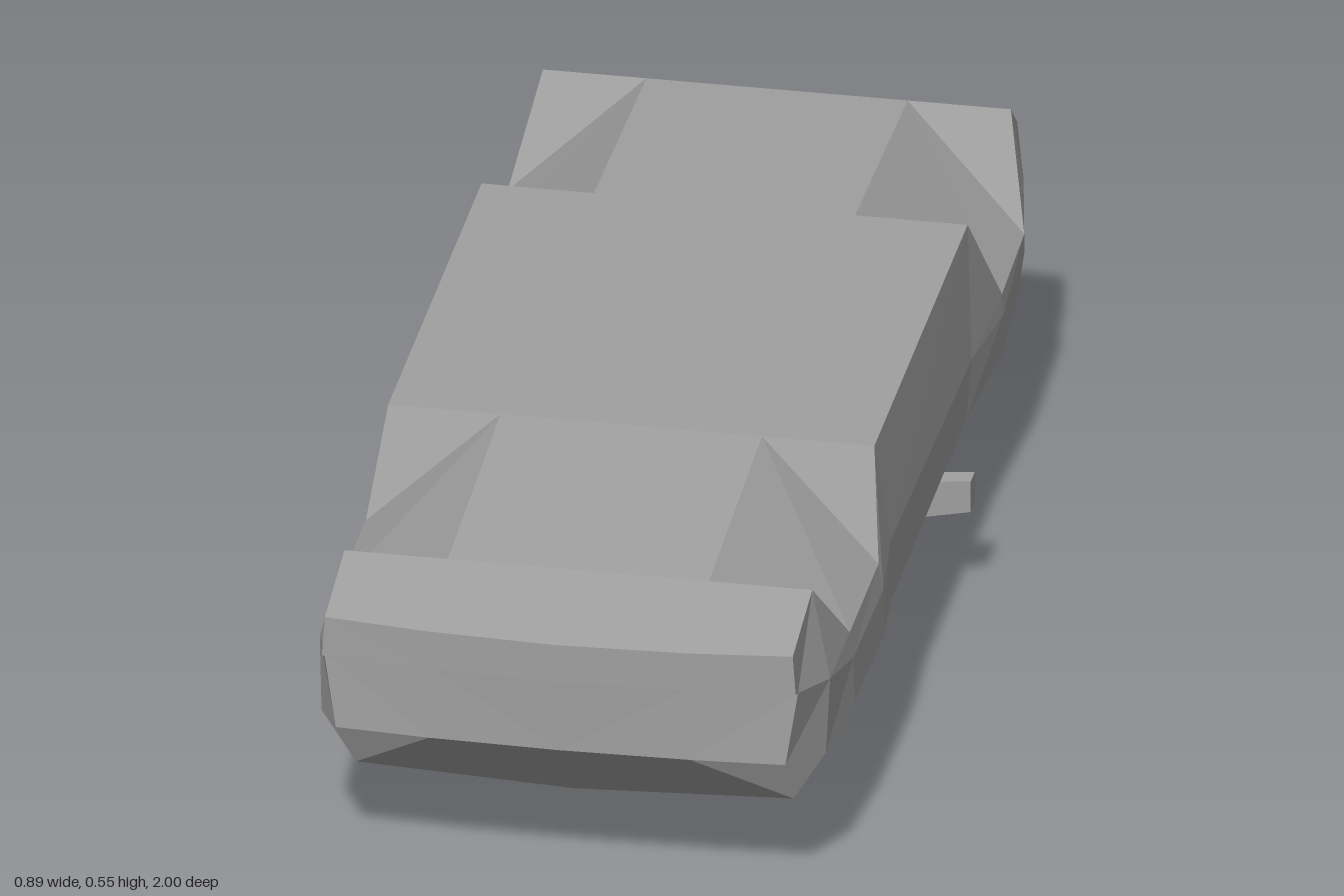
import * as THREE from 'three';

const paint = new THREE.MeshStandardMaterial({ color: 0xa0a0a0, side: THREE.DoubleSide });
paint.name = 'grey';

// Flat-shaded skin over a grid of points for the +x half, mirrored to -x.
function mirroredSkin(name, rows, flip = false) {
  const pos = [];
  const tri = (a, b, c) => {
    const n = new THREE.Vector3().subVectors(b, a).cross(new THREE.Vector3().subVectors(c, a));
    if (n.length() < 1e-7) return;
    const [p, q] = flip ? [c, b] : [b, c];
    for (const v of [a, p, q]) pos.push(v.x, v.y, v.z);
    for (const v of [a, q, p]) pos.push(-v.x, v.y, v.z);
  };
  const grid = rows.map(r => r.map(p => new THREE.Vector3(...p)));
  for (let i = 0; i < grid.length - 1; i++) {
    for (let j = 0; j < grid[i].length - 1; j++) {
      const a = grid[i][j], b = grid[i][j + 1], c = grid[i + 1][j], d = grid[i + 1][j + 1];
      tri(a, b, c);
      tri(b, d, c);
    }
  }
  const geo = new THREE.BufferGeometry();
  geo.setAttribute('position', new THREE.Float32BufferAttribute(pos, 3));
  geo.computeVertexNormals();
  const mesh = new THREE.Mesh(geo, paint);
  mesh.name = name;
  return mesh;
}

// Lengthwise lines of the overturned car body, from +z to -z.
const floorLine = [
  [0.215, 0.475, 0.99], [0.215, 0.512, 0.8], [0.215, 0.512, 0.8], [0.215, 0.547, 0.34], [0.215, 0.547, 0.34],
  [0.215, 0.547, -0.47], [0.215, 0.547, -0.47], [0.215, 0.53, -0.925], [0.215, 0.53, -0.925], [0.215, 0.48, -1],
];
// The sill dips at each wheel well.
const sillLine = [
  [0.385, 0.475, 0.97], [0.385, 0.512, 0.8], [0.422, 0.375, 0.67], [0.422, 0.375, 0.42], [0.4, 0.547, 0.34],
  [0.4, 0.547, -0.47], [0.43, 0.355, -0.61], [0.425, 0.355, -0.83], [0.385, 0.53, -0.925], [0.385, 0.48, -0.98],
];
const shoulderLine = [
  [0.39, 0.4, 0.95], [0.42, 0.37, 0.83], [0.428, 0.33, 0.67], [0.43, 0.33, 0.42], [0.42, 0.36, 0.3],
  [0.42, 0.34, -0.4], [0.433, 0.32, -0.61], [0.425, 0.32, -0.83], [0.405, 0.4, -0.93], [0.39, 0.4, -0.965],
];
const beltLine = [
  [0.37, 0.27, 0.955], [0.415, 0.24, 0.84], [0.43, 0.25, 0.67], [0.432, 0.25, 0.42], [0.42, 0.25, 0.3],
  [0.418, 0.25, -0.36], [0.428, 0.24, -0.61], [0.415, 0.23, -0.8], [0.39, 0.25, -0.92], [0.37, 0.27, -0.98],
];
const deckEdge = [
  [0.215, 0.27, 0.965], [0.36, 0.147, 0.83], [0.37, 0.205, 0.62], [0.385, 0.22, 0.42], [0.385, 0.225, 0.3],
  [0.38, 0.2, -0.38], [0.37, 0.165, -0.58], [0.36, 0.14, -0.77], [0.3, 0.205, -0.89], [0.215, 0.27, -0.995],
];
const deckCentre = [
  [0, 0.27, 0.97], [0, 0.137, 0.84], [0, 0.2, 0.62], [0, 0.2, 0.42], [0, 0.2, 0.3],
  [0, 0.2, -0.38], [0, 0.165, -0.58], [0, 0.125, -0.78], [0, 0.2, -0.89], [0, 0.27, -0.995],
];

// Bumper end: lip, face, groove and lower panel.
function bumper(name, k, s, centreZ, groove) {
  const lip = sillLine[k], corner = [0.39, 0.405, lip[2]], side = shoulderLine[k], low = beltLine[k];
  const mid = floorLine[k];
  return mirroredSkin(name, [
    [[0, lip[1], centreZ], mid, lip, lip],
    [[0, 0.408, centreZ], [0.215, 0.408, mid[2]], corner, side],
    [[0, 0.4, centreZ - s * groove], [0.215, 0.4, mid[2] - s * groove], side, side],
    [deckCentre[k], deckEdge[k], low, low],
  ], s > 0);
}

export function createModel() {
  const model = new THREE.Group();
  model.name = 'overturnedCarBody';

  const car = new THREE.Group();
  car.name = 'carBody';
  car.position.x = -0.01;
  model.add(car);

  const sections = floorLine.map((p, i) => [
    [0, p[1], i === 0 ? 1 : i === 9 ? -0.992 : p[2]],
    p, sillLine[i], shoulderLine[i], beltLine[i], deckEdge[i], deckCentre[i],
  ]);
  car.add(mirroredSkin('bodyShell', sections));
  car.add(bumper('rearBumper', 0, 1, 1, 0.025));
  car.add(bumper('frontBumper', 9, -1, -0.992, 0.018));

  // Cabin with sloped windows, its roof nearest the ground.
  car.add(mirroredSkin('cabin', [
    [[0, 0.21, 0.63], [0.2, 0.21, 0.62], [0.365, 0.22, 0.58], [0.365, 0.22, 0.58]],
    [[0, 0.018, 0.45], [0.165, 0.018, 0.45], [0.285, 0.023, 0.4], [0.388, 0.238, 0.42]],
    [[0, 0, -0.105], [0.165, 0, -0.105], [0.285, 0.02, -0.05], [0.388, 0.238, 0]],
    [[0, 0.205, -0.4], [0.2, 0.205, -0.38], [0.375, 0.22, -0.26], [0.375, 0.22, -0.26]],
  ], true));

  // Single wing mirror, tapering towards its tip.
  const geo = new THREE.BoxGeometry(0.09, 0.055, 0.035);
  const p = geo.attributes.position;
  for (let i = 0; i < p.count; i++) {
    if (p.getX(i) < 0 && p.getY(i) < 0) p.setY(i, -0.038);
    p.setZ(i, p.getZ(i) - p.getX(i) * 0.2);
  }
  geo.computeVertexNormals();
  const mirror = new THREE.Mesh(geo, paint);
  mirror.name = 'wingMirror';
  mirror.position.set(0.4, 0.19, -0.215);
  model.add(mirror);

  return model;
}
